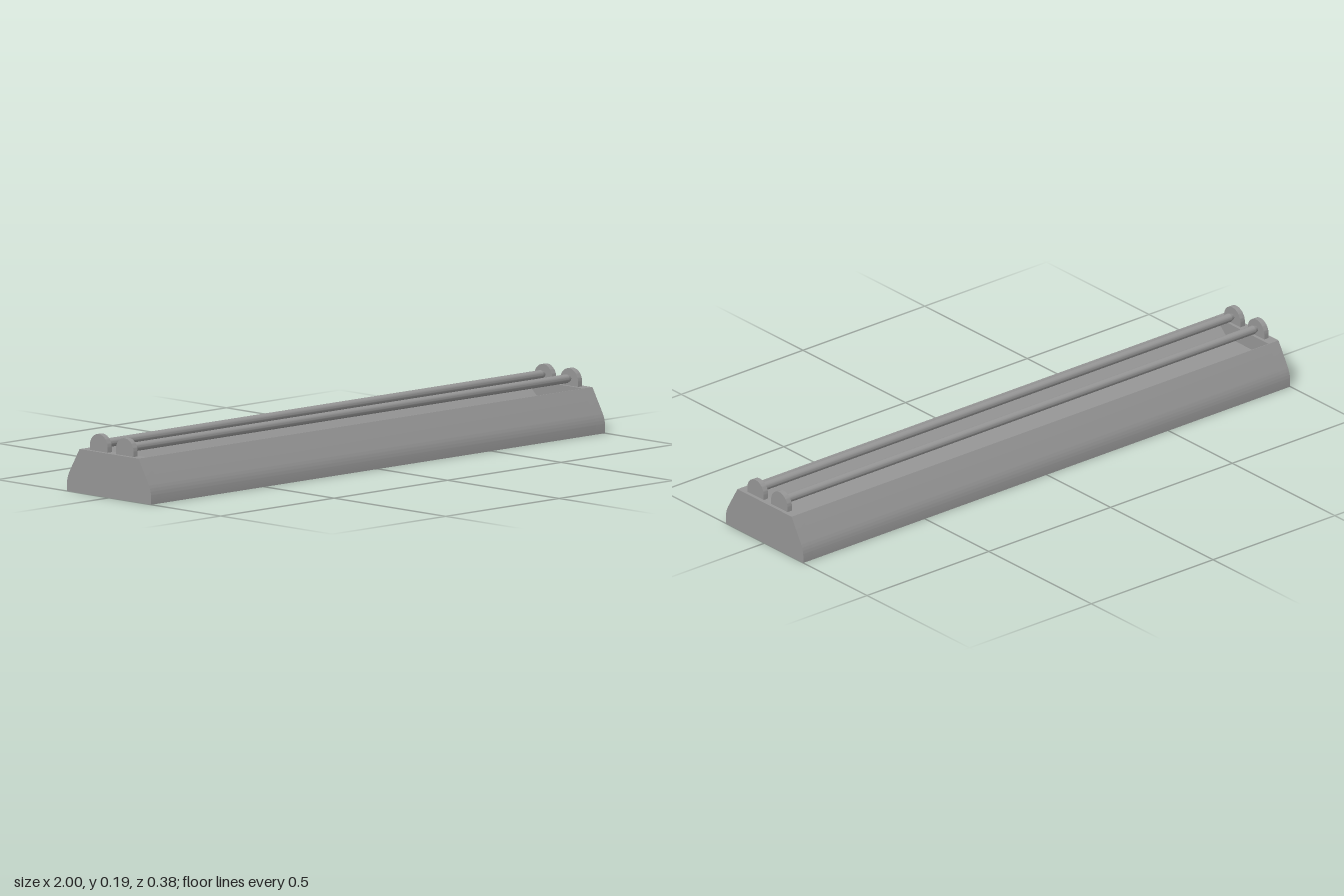
import * as THREE from 'three';
import { toCreasedNormals } from 'three/addons/utils/BufferGeometryUtils.js';

const material = new THREE.MeshStandardMaterial({ color: 0x959595 });

// Extrude a (z, y) section along x, starting at x0
function extrudeX(shape, x0, length) {
  const geo = new THREE.ExtrudeGeometry(shape, { depth: length, bevelEnabled: false, curveSegments: 12 });
  geo.rotateY(Math.PI / 2);
  geo.translate(x0, 0, 0);
  return toCreasedNormals(geo, 0.5);
}

// Housing section: upright foot, rounded shoulder, sloping side; optional shallow trough in the top
function housingShape(withTrough) {
  const s = new THREE.Shape();
  s.moveTo(-0.189, 0);
  s.lineTo(0.189, 0);
  s.lineTo(0.189, 0.025);
  s.quadraticCurveTo(0.187, 0.046, 0.177, 0.064);
  s.lineTo(0.132, 0.14);
  if (withTrough) {
    s.lineTo(0.13, 0.14);
    s.lineTo(0.073, 0.09);
    s.lineTo(-0.073, 0.09);
    s.lineTo(-0.13, 0.14);
  }
  s.lineTo(-0.132, 0.14);
  s.lineTo(-0.177, 0.064);
  s.quadraticCurveTo(-0.187, 0.046, -0.189, 0.025);
  s.closePath();
  return s;
}

// Round-topped lamp holder
function holderShape() {
  const s = new THREE.Shape();
  s.moveTo(-0.04, 0.135);
  s.lineTo(0.04, 0.135);
  s.lineTo(0.04, 0.155);
  s.absarc(0, 0.155, 0.04, 0, Math.PI, false);
  s.closePath();
  return s;
}

export function createModel() {
  const group = new THREE.Group();
  const add = (name, geo, z = 0) => {
    const mesh = new THREE.Mesh(geo, material);
    mesh.name = name;
    mesh.position.z = z;
    group.add(mesh);
  };

  // Housing with reflector trough, closed by solid ends
  add('reflectorHousing', extrudeX(housingShape(true), -0.96, 1.92));
  add('leftHousingEnd', extrudeX(housingShape(false), 0.96, 0.04));
  add('rightHousingEnd', extrudeX(housingShape(false), -1, 0.04));

  // Lamp tube with tapered ends
  const profile = [[0, -0.972], [0.009, -0.972], [0.014, -0.958], [0.014, 0.958], [0.009, 0.972], [0, 0.972]];
  const lathe = new THREE.LatheGeometry(profile.map(([r, y]) => new THREE.Vector2(r, y)), 24);
  lathe.rotateZ(-Math.PI / 2);
  lathe.translate(0, 0.163, 0);
  const tube = toCreasedNormals(lathe, 0.3);

  // Two tubes, each held at both ends
  for (const [place, z] of [['front', 0.058], ['back', -0.058]]) {
    add(place + 'LampTube', tube, z);
    add(place + 'LeftHolder', extrudeX(holderShape(), 0.97, 0.018), z);
    add(place + 'RightHolder', extrudeX(holderShape(), -0.988, 0.018), z);
  }
  return group;
}
